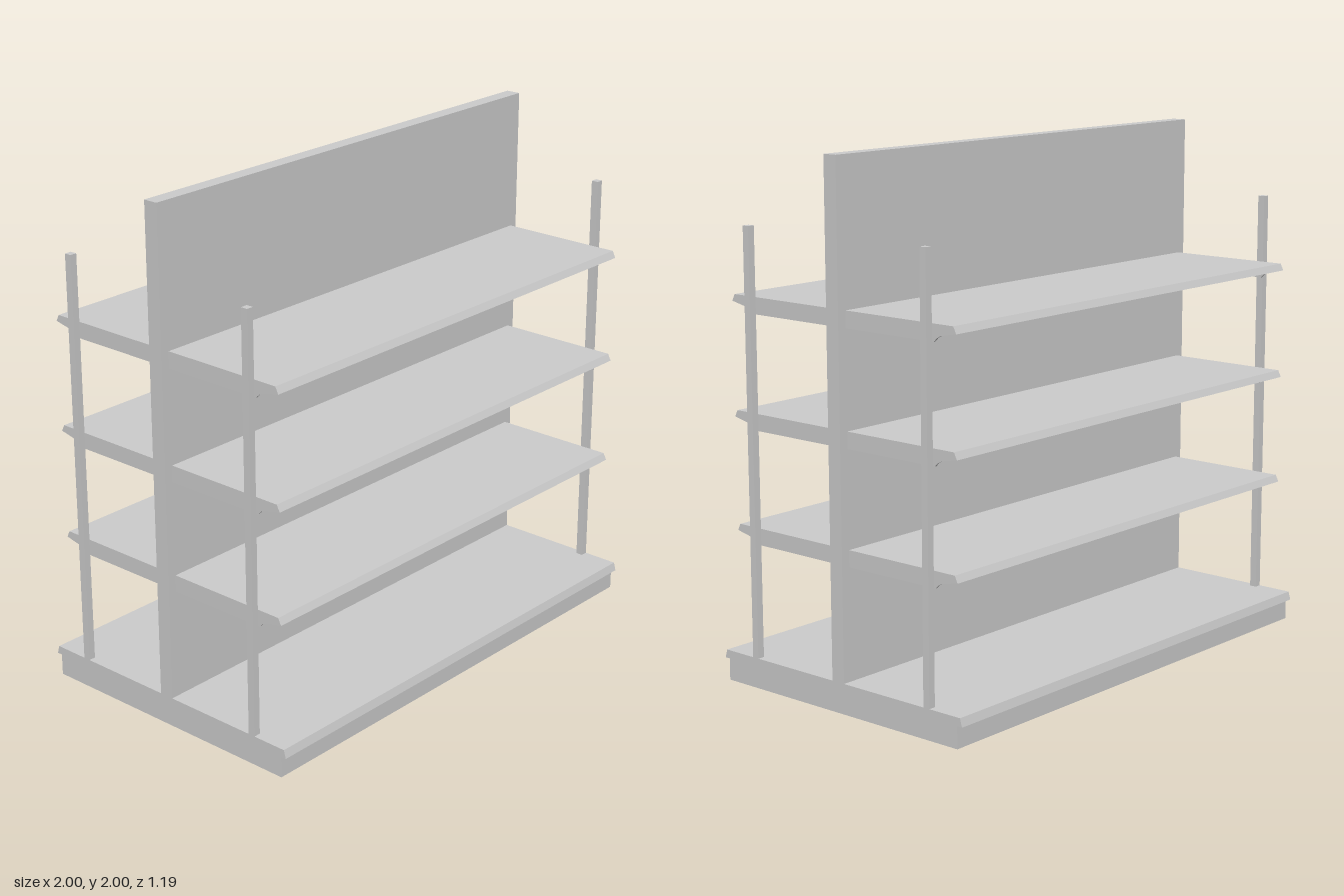
import * as THREE from 'three';

const material = new THREE.MeshStandardMaterial({ color: 0xcccccc, flatShading: true, side: THREE.DoubleSide });

function addBox(parent, name, w, h, d, x, y, z) {
  const mesh = new THREE.Mesh(new THREE.BoxGeometry(w, h, d), material);
  mesh.name = name;
  mesh.position.set(x, y, z);
  parent.add(mesh);
}

// Extrudes a [z, y] profile along x, centred on the given x
function addProfile(parent, name, points, width, x) {
  const shape = new THREE.Shape(points.map(([z, y]) => new THREE.Vector2(-z, y)));
  const geometry = new THREE.ExtrudeGeometry(shape, { depth: width, bevelEnabled: false });
  geometry.translate(0, 0, -width / 2);
  geometry.rotateY(Math.PI / 2);
  const mesh = new THREE.Mesh(geometry, material);
  mesh.name = name;
  mesh.position.x = x;
  parent.add(mesh);
}

// One shelf: board with a slanted lip, and a tapered bracket at each end (top at y = 0)
function createShelf() {
  const shelf = new THREE.Group();
  shelf.name = 'shelf';
  addProfile(shelf, 'shelfBoard', [[0.03, 0], [0.533, 0], [0.546, -0.026], [0.03, -0.026]], 1.93, 0);
  const bracket = [
    [0.03, -0.001], [0.532, -0.001], [0.543, -0.026], [0.475, -0.04],
    [0.46, -0.048], [0.445, -0.063], [0.03, -0.063],
  ];
  for (const side of [-1, 1]) addProfile(shelf, 'shelfBracket', bracket, 0.007, side * 0.9615);
  return shelf;
}

export function createModel() {
  const model = new THREE.Group();
  model.name = 'doubleSidedShelving';

  // Plinth and overhanging deck with slanted edges
  addBox(model, 'plinth', 2, 0.085, 1.144, 0, 0.0425, 0);
  addProfile(model, 'baseDeck', [[-0.585, 0.115], [0.585, 0.115], [0.594, 0.083], [-0.594, 0.083]], 2, 0);

  // Central back panel
  addBox(model, 'backPanel', 2, 1.885, 0.058, 0, 1.0575, 0);

  // Both faces carry three shelves and two posts
  for (const turn of [0, Math.PI]) {
    const face = new THREE.Group();
    face.name = turn ? 'backFace' : 'frontFace';
    face.rotation.y = turn;
    for (const y of [0.602, 1.031, 1.46]) {
      const shelf = createShelf();
      shelf.position.y = y;
      face.add(shelf);
    }
    for (const side of [-1, 1]) addBox(face, 'post', 0.028, 1.605, 0.028, side * 0.986, 0.9175, 0.429);
    model.add(face);
  }
  return model;
}
